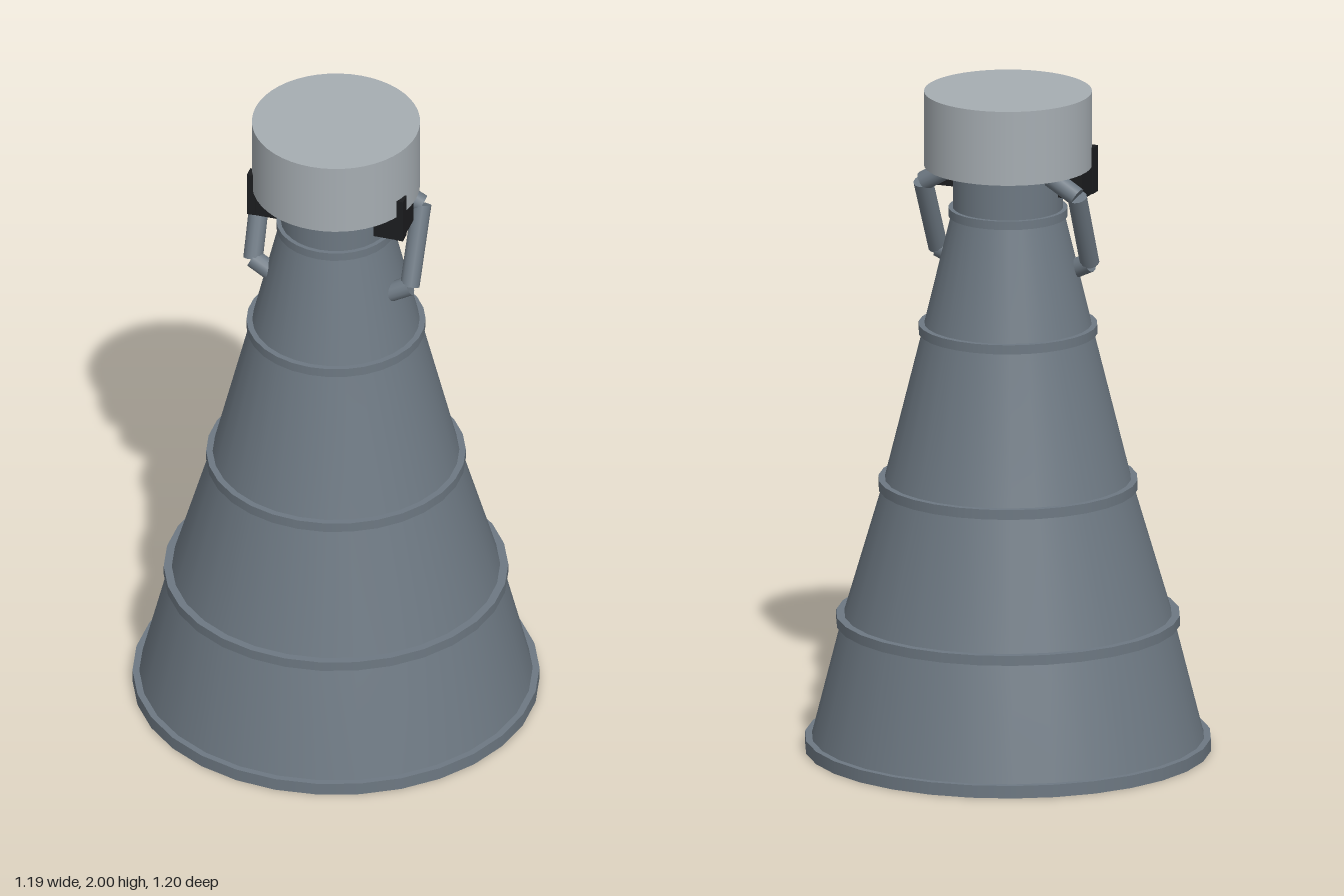
import * as THREE from 'three';

const SIDES = 30;

export function createModel() {
  const model = new THREE.Group();
  model.name = 'engineNozzle';

  const paint = (name, color, side = THREE.FrontSide) => {
    const m = new THREE.MeshStandardMaterial({ color, side });
    m.name = name;
    return m;
  };
  const steel = paint('slate steel', 0x6d7882);
  const bellSteel = steel;
  bellSteel.side = THREE.DoubleSide;
  const lightMetal = paint('light metal', 0xa6adb2);
  const black = paint('black', 0x1c1d1f);

  const add = (name, geometry, material, parent = model) => {
    const mesh = new THREE.Mesh(geometry, material);
    mesh.name = name;
    parent.add(mesh);
    return mesh;
  };

  // Hollow bell, open at the bottom, narrowing to the throat
  const bell = [[0.587, 0.005], [0.49, 0.39], [0.368, 0.805], [0.25, 1.28], [0.165, 1.635]];
  add('bell', new THREE.LatheGeometry(bell.map(p => new THREE.Vector2(...p)), SIDES), bellSteel);
  const throat = add('throat', new THREE.CylinderGeometry(0.163, 0.163, 0.16, SIDES), steel);
  throat.position.y = 1.71;

  // Flat-edged reinforcing bands: outer radius, inner radius, bottom, top
  const bands = [
    [0.6, 0.58, 0, 0.038],
    [0.508, 0.483, 0.38, 0.41],
    [0.383, 0.36, 0.792, 0.822],
    [0.264, 0.243, 1.265, 1.293],
    [0.176, 0.155, 1.621, 1.647],
  ];
  bands.forEach(([outer, inner, y0, y1], i) => {
    const strips = [
      [[outer, y0], [outer, y1]],
      [[outer, y1], [inner, y1]],
      [[inner, y0], [outer, y0]],
    ];
    const band = new THREE.Group();
    band.name = i === 0 ? 'exitRim' : 'band' + i;
    model.add(band);
    for (const strip of strips) {
      add('bandFace', new THREE.LatheGeometry(strip.map(p => new THREE.Vector2(...p)), SIDES), steel, band);
    }
  });

  // Mounting cap
  const cap = add('cap', new THREE.CylinderGeometry(0.248, 0.248, 0.225, 48), lightMetal);
  cap.position.y = 1.8875;

  // Straight pipe between two points
  const pipe = (name, a, b, parent) => {
    const along = b.clone().sub(a);
    const mesh = add(name, new THREE.CylinderGeometry(0.029, 0.029, along.length(), 14), steel, parent);
    mesh.position.copy(a).add(b).multiplyScalar(0.5);
    mesh.quaternion.setFromUnitVectors(new THREE.Vector3(0, 1, 0), along.normalize());
  };

  const box = (name, [x0, x1], [y0, y1], [z0, z1], parent) => {
    const mesh = add(name, new THREE.BoxGeometry(x1 - x0, y1 - y0, z1 - z0), black, parent);
    mesh.position.set((x0 + x1) / 2, (y0 + y1) / 2, (z0 + z1) / 2);
  };

  // Feed pipes and brackets on both sides
  for (const s of [1, -1]) {
    const side = s > 0 ? 'left' : 'right';
    const feed = new THREE.Group();
    feed.name = side + 'FeedPipe';
    const path = [[0.16, 1.765, -0.055], [0.246, 1.715, -0.06], [0.242, 1.49, 0.045], [0.18, 1.46, 0.055]]
      .map(([x, y, z]) => new THREE.Vector3(s * x, y, z));
    for (let i = 0; i < 3; i++) pipe('pipeSection', path[i], path[i + 1], feed);
    model.add(feed);

    const bracket = new THREE.Group();
    bracket.name = side + 'Bracket';
    const span = (a, b) => (s > 0 ? [a, b] : [-b, -a]);
    box('bracketBase', span(0.15, 0.238), [1.692, 1.776], [-0.005, 0.11], bracket);
    box('bracketTab', span(0.215, 0.241), [1.692, 1.832], [0.075, 0.111], bracket);
    model.add(bracket);
  }
  return model;
}
